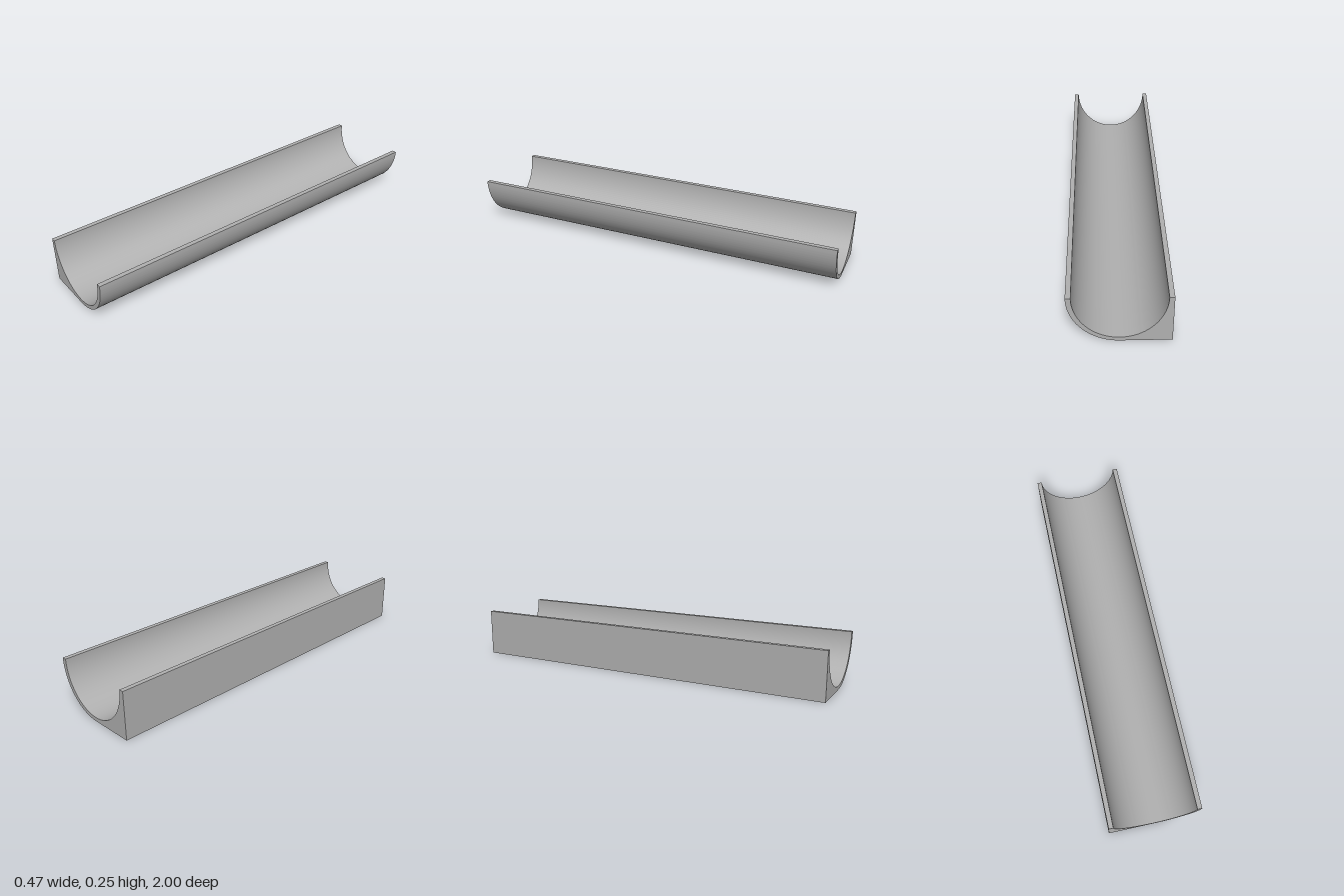
import * as THREE from 'three';
import { toCreasedNormals } from 'three/addons/utils/BufferGeometryUtils.js';

const HALF_WIDTH = 0.236, HEIGHT = 0.25, LENGTH = 2;
const INNER_X = 0.212, INNER_Y = 0.23;

export function createModel() {
  const group = new THREE.Group();
  group.name = 'channel';
  const grey = new THREE.MeshStandardMaterial({ color: 0xb0b0b0 });
  grey.name = 'grey';

  // Cross-section: square outer corner on the right, rounded outer wall on the left
  const profile = new THREE.Shape();
  profile.moveTo(-HALF_WIDTH, 0);
  profile.lineTo(0, 0);
  profile.absellipse(0, HEIGHT, HALF_WIDTH, HEIGHT, -Math.PI / 2, 0, false);
  profile.lineTo(INNER_X, HEIGHT);
  // Hollow trough
  profile.absellipse(0, HEIGHT, INNER_X, INNER_Y, 0, -Math.PI, true);
  profile.lineTo(-HALF_WIDTH, HEIGHT);
  profile.closePath();

  // Sweep along the length, keeping curved walls smooth and corners sharp
  const extruded = new THREE.ExtrudeGeometry(profile, {
    depth: LENGTH, bevelEnabled: false, curveSegments: 32,
  });
  extruded.translate(0, 0, -LENGTH / 2);
  const trough = new THREE.Mesh(toCreasedNormals(extruded, 0.5), grey);
  trough.name = 'trough';
  group.add(trough);
  return group;
}
